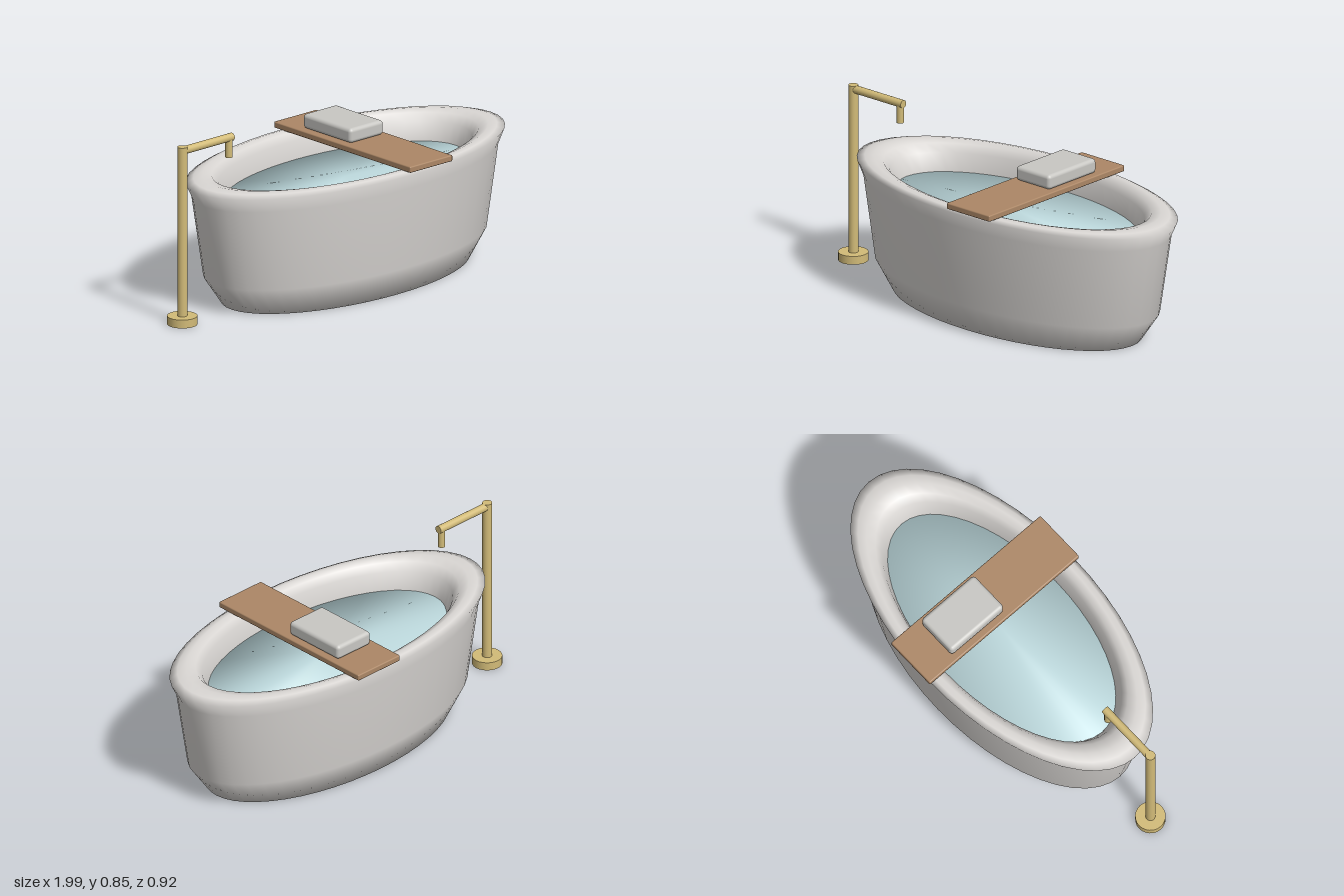
import * as THREE from 'three';
import { RoundedBoxGeometry } from 'three/addons/geometries/RoundedBoxGeometry.js';

const material = (name, color, side = THREE.FrontSide) => {
  const m = new THREE.MeshStandardMaterial({ color, side });
  m.name = name;
  return m;
};

export function createModel() {
  const model = new THREE.Group();
  const enamel = material('enamel', 0xdad7d4, THREE.DoubleSide);
  const waterBlue = material('water blue', 0xbedade);
  const wood = material('wood', 0xac8766);
  const brass = material('brass', 0xd2bb78);
  const cloth = material('towel grey', 0xc8c7c3);

  const add = (name, geometry, mat, x, y, z, parent = model) => {
    const mesh = new THREE.Mesh(geometry, mat);
    mesh.name = name;
    mesh.position.set(x, y, z);
    parent.add(mesh);
    return mesh;
  };

  // Oval lathe: profile radii are measured along z and stretched along x
  const tubX = 0.085, stretch = 2.03;
  const oval = (name, points, mat) => {
    const profile = points.map(([r, y]) => new THREE.Vector2(r, y));
    add(name, new THREE.LatheGeometry(profile, 48), mat, tubX, 0, 0).scale.x = stretch;
  };

  // Tub: drain hole, base, outer wall, rolled rim, inner wall, floor
  oval('tub', [
    [0.015, 0], [0.348, 0], [0.397, 0.137], [0.43, 0.53], [0.447, 0.598],
    [0.425, 0.612], [0.40, 0.618], [0.373, 0.607], [0.355, 0.57],
    [0.336, 0.48], [0.315, 0.16], [0.26, 0.08], [0.015, 0.06],
  ], enamel);

  // Water, a soft-edged volume filling the basin
  oval('water', [[0.001, 0.1], [0.25, 0.1], [0.337, 0.487], [0.0005, 0.488]], waterBlue);

  // Bath tray with a folded towel
  add('tray', new RoundedBoxGeometry(0.265, 0.03, 0.922, 2, 0.006), wood, 0.198, 0.63, 0);
  add('towel', new RoundedBoxGeometry(0.21, 0.07, 0.325, 4, 0.018), cloth, 0.2, 0.68, -0.137);

  // Floor-standing faucet
  const faucet = new THREE.Group();
  faucet.name = 'faucet';
  model.add(faucet);
  const rod = (name, r, length, x, y) =>
    add(name, new THREE.CylinderGeometry(r, r, length, 24), brass, x, y, 0, faucet);
  rod('faucetBase', 0.07, 0.04, -0.93, 0.02);
  rod('faucetPost', 0.023, 0.83, -0.93, 0.437);
  rod('faucetArm', 0.019, 0.31, -0.775, 0.833).rotation.z = Math.PI / 2;
  rod('faucetSpout', 0.017, 0.095, -0.64, 0.787);

  return model;
}
